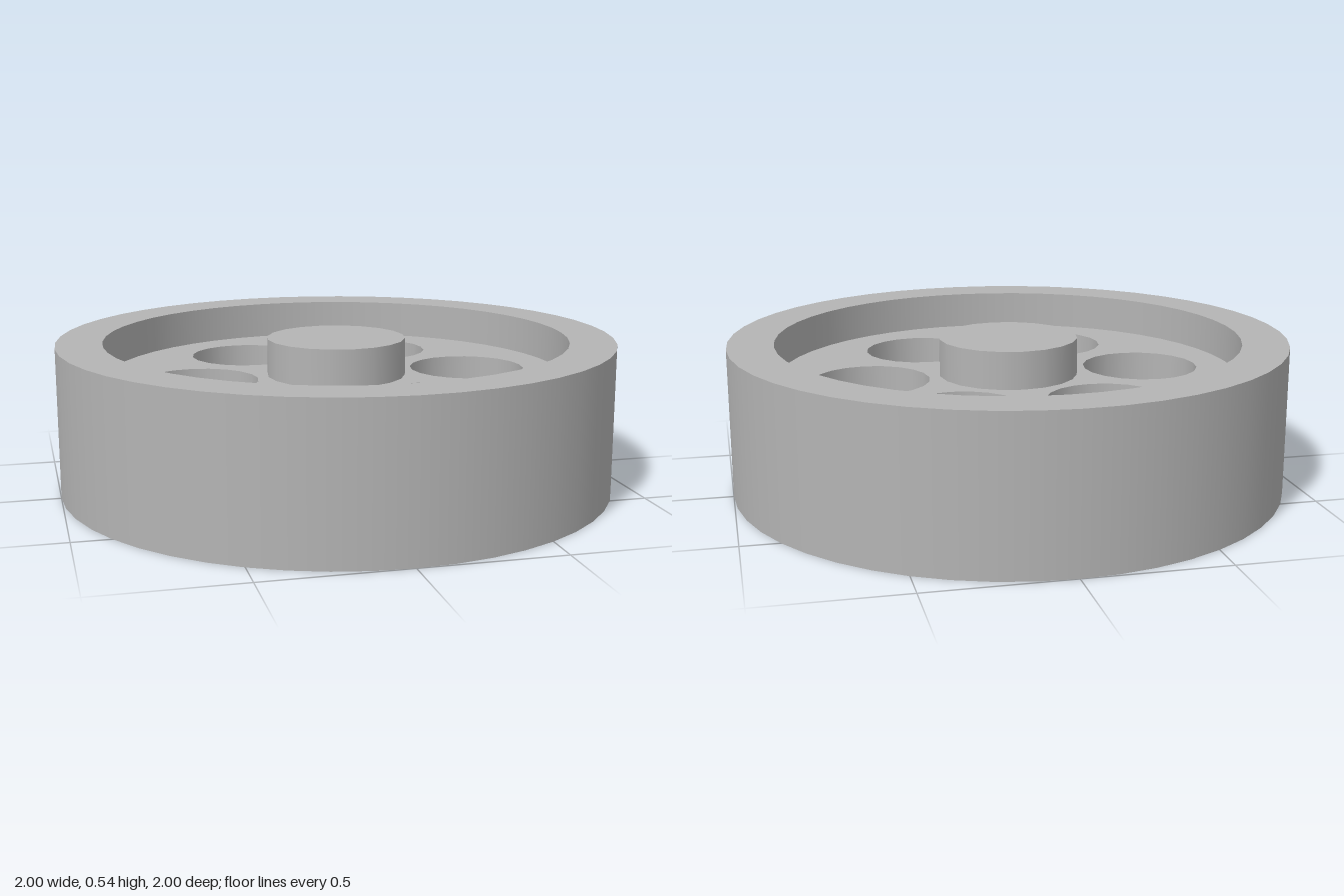
import * as THREE from 'three';
import { mergeGeometries } from 'three/addons/utils/BufferGeometryUtils.js';

const HEIGHT = 0.535, WEB_Y = 0.4, POCKET_Y = 0.267;
const RIM_INNER = 0.835, HUB_R = 0.25, POCKET_R = 0.21, POCKET_RING = 0.5;

// Revolve each profile segment on its own so the edges between them stay sharp
function turned(profile, sides) {
  const parts = [];
  for (let i = 0; i < profile.length - 1; i++) {
    const pair = [profile[i], profile[i + 1]].map(([r, y]) => new THREE.Vector2(r, y));
    parts.push(new THREE.LatheGeometry(pair, sides));
  }
  return mergeGeometries(parts);
}

// Points of a regular polygon in the shape plane
function circlePoints(radius, sides, cx = 0, cy = 0) {
  return Array.from({ length: sides }, (_, i) => {
    const a = (i / sides) * Math.PI * 2;
    return new THREE.Vector2(cx + radius * Math.sin(a), cy + radius * Math.cos(a));
  });
}

export function createModel() {
  const group = new THREE.Group();
  group.name = 'wheel';
  const grey = new THREE.MeshStandardMaterial({ color: 0xb4b4b4 });
  grey.name = 'grey';

  function add(name, geometry, x = 0, z = 0) {
    const mesh = new THREE.Mesh(geometry, grey);
    mesh.name = name;
    mesh.position.set(x, 0, z);
    group.add(mesh);
  }

  // Closed underside, outer wall, flat rim and inner wall
  add('rim', turned([[0, 0], [1, 0], [1, HEIGHT], [RIM_INNER, HEIGHT], [RIM_INNER, WEB_Y]], 48));

  // Central hub, level with the rim
  add('hub', turned([[HUB_R, WEB_Y], [HUB_R, HEIGHT], [0, HEIGHT]], 20));

  // Recessed web, pierced by the hub and six round pockets
  const web = new THREE.Shape(circlePoints(RIM_INNER, 48));
  web.holes.push(new THREE.Path(circlePoints(HUB_R, 20)));
  const pocket = turned([[POCKET_R, WEB_Y], [POCKET_R, POCKET_Y], [0, POCKET_Y]], 20);
  for (let i = 0; i < 6; i++) {
    const a = (i * Math.PI) / 3;
    const x = POCKET_RING * Math.cos(a), z = POCKET_RING * Math.sin(a);
    web.holes.push(new THREE.Path(circlePoints(POCKET_R, 20, x, -z)));
    add('pocket' + (i + 1), pocket, x, z);
  }
  add('web', new THREE.ShapeGeometry(web).rotateX(-Math.PI / 2).translate(0, WEB_Y, 0));

  return group;
}
